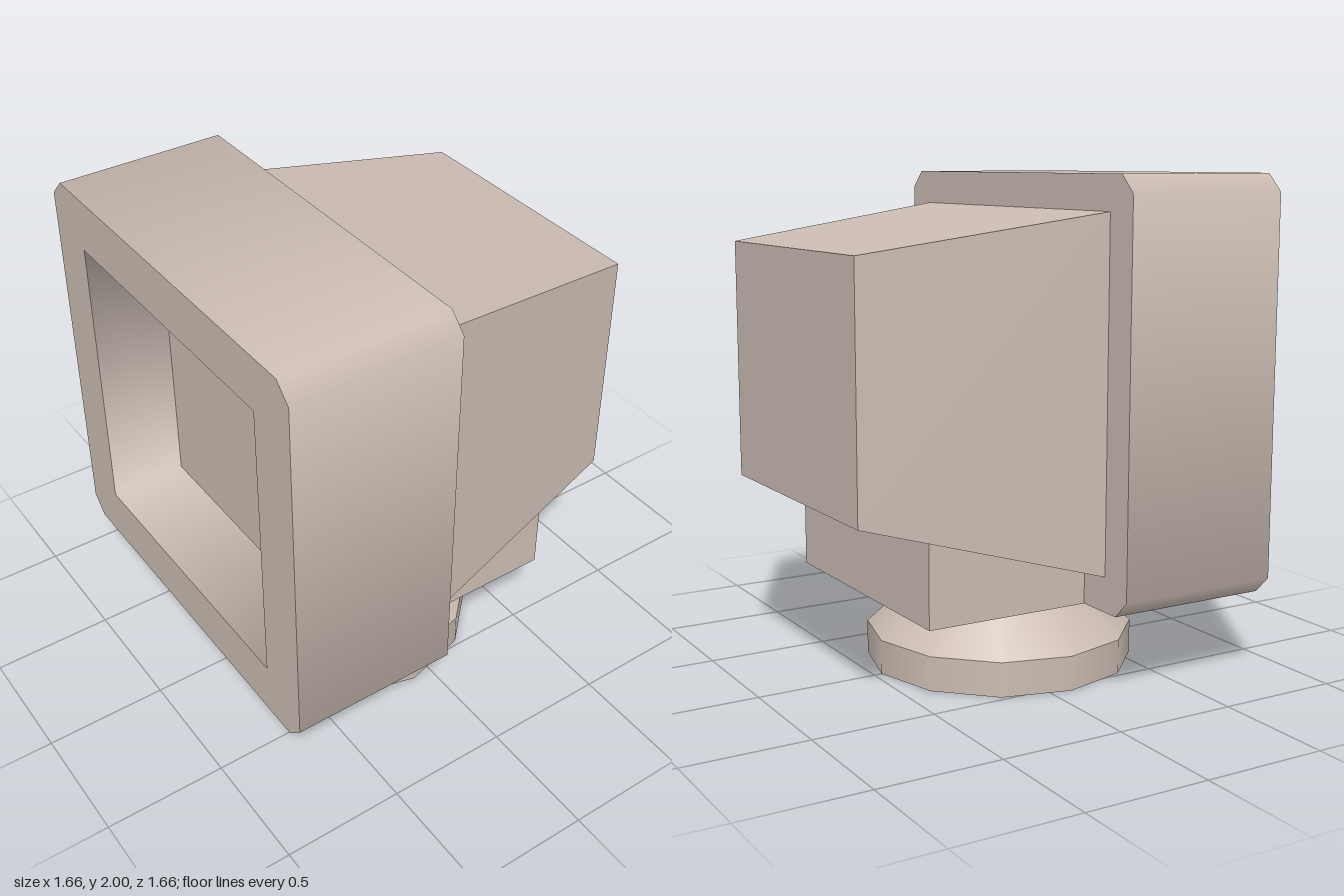
import * as THREE from 'three';

const CASING = new THREE.MeshStandardMaterial({ color: 0xcbbcb2 });

// Rectangle outline in (z, y), counter-clockwise, with cut corners of size c
function outline(w, y0, y1, c = 0) {
  if (!c) return [[-w, y0], [w, y0], [w, y1], [-w, y1]];
  return [
    [-w + c, y0], [w - c, y0], [w, y0 + c], [w, y1 - c],
    [w - c, y1], [-w + c, y1], [-w, y1 - c], [-w, y0 + c],
  ];
}

// Wall from a back outline at d0 to a front outline at d1, shaded smoothly round the corners
function wall(back, front, d0, d1) {
  const n = back.length, pos = [], normals = [], index = [];
  const edgeNormal = (loop, i) => {
    const [a, b] = [loop[i % n], loop[(i + 1) % n]];
    return new THREE.Vector3(b[1] - a[1], a[0] - b[0], 0).normalize();
  };
  for (const [loop, d] of [[back, d0], [front, d1]]) {
    loop.forEach(([u, v], i) => {
      pos.push(u, v, d);
      normals.push(...edgeNormal(loop, i).add(edgeNormal(loop, i + n - 1)).normalize().toArray());
    });
  }
  for (let i = 0; i < n; i++) {
    const j = (i + 1) % n;
    index.push(i, j, n + j, i, n + j, n + i);
  }
  const geo = new THREE.BufferGeometry();
  geo.setAttribute('position', new THREE.Float32BufferAttribute(pos, 3));
  geo.setAttribute('normal', new THREE.Float32BufferAttribute(normals, 3));
  geo.setIndex(index);
  return geo;
}

function plate(loop, hole) {
  const shape = new THREE.Shape(loop.map(p => new THREE.Vector2(...p)));
  if (hole) shape.holes.push(new THREE.Path(hole.map(p => new THREE.Vector2(...p))));
  return new THREE.ShapeGeometry(shape);
}

export function createModel() {
  const model = new THREE.Group();
  const add = (name, geo, parent = model) => {
    const mesh = new THREE.Mesh(geo, CASING);
    mesh.name = name;
    parent.add(mesh);
    return mesh;
  };

  // Screen housing: local +z is turned to face -x
  const housing = new THREE.Group();
  housing.name = 'screenHousing';
  housing.rotation.y = -Math.PI / 2;
  model.add(housing);
  const outer = outline(0.83, 0.346, 2, 0.07);
  const opening = outline(0.61, 0.567, 1.78);
  const inner = outline(0.565, 0.612, 1.735);
  add('housingWall', wall(outer, outer, 0.14, 0.83), housing);
  add('screenBezel', plate(outer, opening), housing).position.z = 0.83;
  add('recessWall', wall([...inner].reverse(), [...opening].reverse(), 0.53, 0.83), housing);
  add('screen', plate(inner), housing).position.z = 0.53;
  const back = add('housingBack', plate(outer), housing);
  back.rotation.y = Math.PI;
  back.position.z = 0.14;

  // Tapered rear body
  const body = new THREE.BoxGeometry(2, 2, 2);
  const p = body.attributes.position;
  for (let i = 0; i < p.count; i++) {
    const rear = p.getX(i) > 0, top = p.getY(i) > 0;
    const y = rear ? (top ? 1.726 : 0.761) : (top ? 1.863 : 0.485);
    p.setXYZ(i, rear ? 0.83 : -0.14, y, Math.sign(p.getZ(i)) * (rear ? 0.552 : 0.69));
  }
  body.computeVertexNormals();
  add('rearBody', body);

  // Block under the rear body
  add('supportBlock', new THREE.BoxGeometry(0.686, 0.336, 1.104)).position.set(0.203, 0.514, 0);

  // Twelve-sided swivel stand
  add('standFoot', new THREE.CylinderGeometry(0.552, 0.552, 0.14, 12)).position.set(-0.085, 0.07, 0);
  add('standNeck', new THREE.CylinderGeometry(0.33, 0.552, 0.206, 12, 1, true)).position.set(-0.085, 0.243, 0);

  return model;
}
